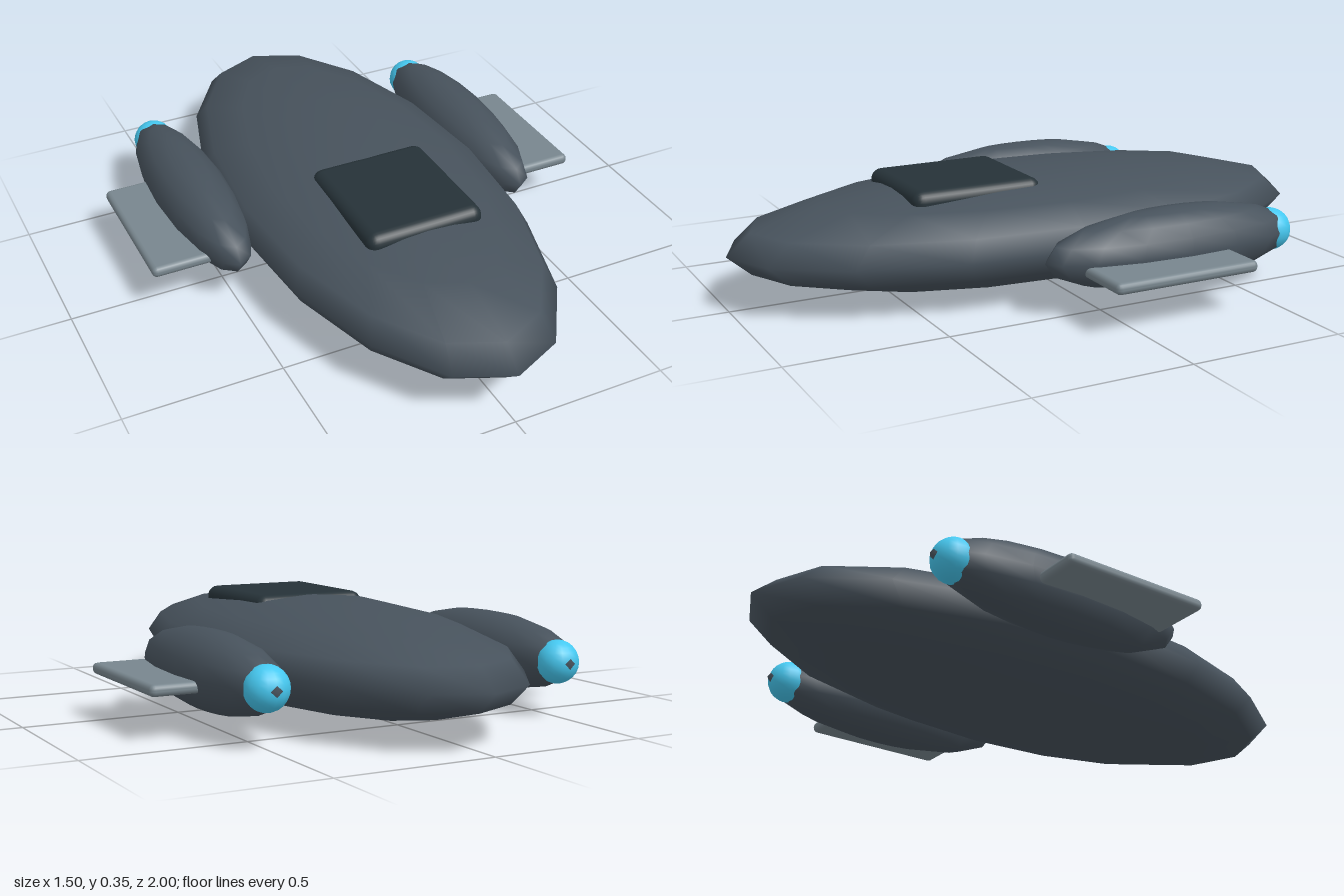
import * as THREE from 'three';
import { RoundedBoxGeometry } from 'three/addons/geometries/RoundedBoxGeometry.js';

const material = (color) => new THREE.MeshStandardMaterial({ color });

export function createModel() {
  const model = new THREE.Group();
  model.name = 'spacecraft';

  const hullMat = material(0x47525c);
  const canopyMat = material(0x263238);
  const wingMat = material(0x78868e);
  const glowMat = material(0x45c8f0);

  const add = (name, geometry, mat, x, y, z) => {
    const mesh = new THREE.Mesh(geometry, mat);
    mesh.name = name;
    mesh.position.set(x, y, z);
    model.add(mesh);
    return mesh;
  };

  // Coarse smooth ellipsoid shared by the hull and the engine pods
  const ellipsoid = (rx, ry, rz) => new THREE.SphereGeometry(1, 16, 8).scale(rx, ry, rz);

  // Flattened hull
  add('hull', ellipsoid(0.44, 0.172, 1), hullMat, 0, 0.178, 0);

  // Canopy panel sunk into the top of the hull
  add('canopy', new RoundedBoxGeometry(0.39, 0.1, 0.435, 3, 0.035), canopyMat, 0, 0.302, 0.248);

  // Engine pod, exhaust glow and stub wing on each side
  for (const [side, s] of [['left', 1], ['right', -1]]) {
    add(side + 'EnginePod', ellipsoid(0.12, 0.122, 0.445), hullMat, s * 0.5, 0.178, -0.255);
    add(side + 'EngineGlow', new THREE.SphereGeometry(0.068, 16, 12), glowMat, s * 0.5, 0.178, -0.622);
    add(side + 'Wing', new RoundedBoxGeometry(0.3, 0.036, 0.49, 2, 0.016), wingMat, s * 0.6, 0.154, -0.155);
  }

  return model;
}
